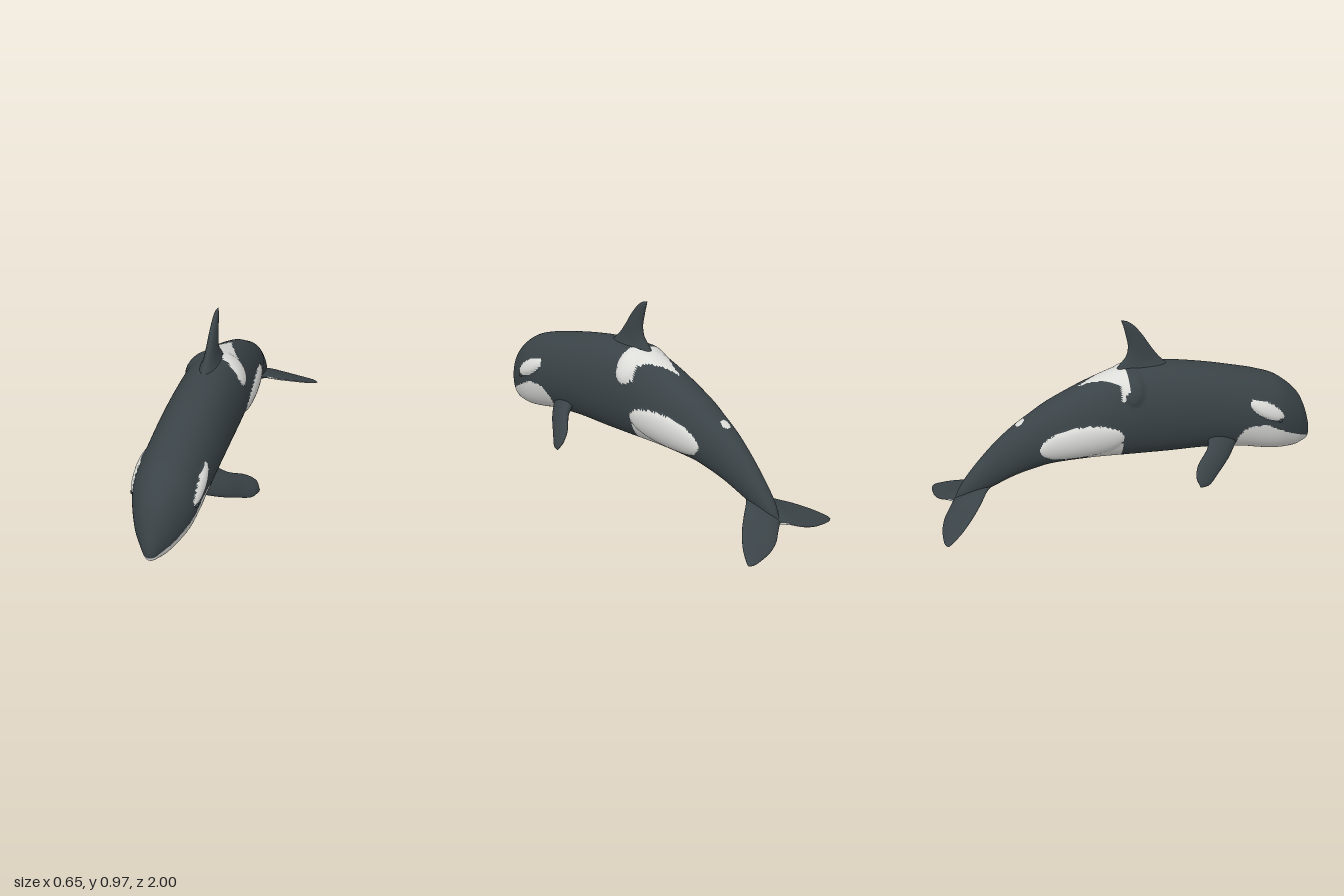
import * as THREE from 'three';

const V = (x, y, z) => new THREE.Vector3(x, y, z);
const curve = (pts) => new THREE.CatmullRomCurve3(pts, false, 'catmullrom', 0.5);

// Closed-ring surface from at(u, angle); rule(centre, normal) picks the material of each face.
function loft(name, at, rows, cols, materials, rule) {
  const pts = [];
  for (let i = 0; i <= rows; i++) {
    for (let j = 0; j < cols; j++) pts.push(at(i / rows, (j / cols) * Math.PI * 2));
  }
  const lists = materials.map(() => []);
  const tri = new THREE.Triangle(), mid = V(0, 0, 0), normal = V(0, 0, 0);
  const face = (a, b, c) => {
    tri.set(pts[a], pts[b], pts[c]);
    lists[rule(tri.getMidpoint(mid), tri.getNormal(normal))].push(a, b, c);
  };
  for (let i = 0; i < rows; i++) {
    for (let j = 0; j < cols; j++) {
      const k = (j + 1) % cols, a = i * cols + j, b = i * cols + k;
      face(a, a + cols, b);
      face(b, a + cols, b + cols);
    }
  }
  const geo = new THREE.BufferGeometry().setFromPoints(pts);
  geo.setIndex(lists.flat());
  let start = 0;
  lists.forEach((l, m) => {
    if (l.length) geo.addGroup(start, l.length, m);
    start += l.length;
  });
  geo.computeVertexNormals();
  const mesh = new THREE.Mesh(geo, materials);
  mesh.name = name;
  return mesh;
}

// Fin with lens-shaped sections between a leading and a trailing edge.
function fin(name, lead, trail, thick, materials, rule) {
  const L = curve(lead), T = curve(trail), H = curve(thick.map((t) => V(t, 0, 0)));
  const middle = (u) => L.getPoint(u).add(T.getPoint(u)).multiplyScalar(0.5);
  return loft(name, (s, a) => {
    const u = Math.sin((s * Math.PI) / 2);
    const chord = L.getPoint(u).sub(T.getPoint(u)).multiplyScalar(0.5);
    const span = middle(Math.min(1, u + 0.01)).sub(middle(Math.max(0, u - 0.01)));
    const up = chord.clone().cross(span).normalize();
    return middle(u).addScaledVector(chord, Math.cos(a))
      .addScaledVector(up, Math.sin(a) * Math.max(0, H.getPoint(u).x));
  }, 40, 32, materials, rule);
}

// Raised side patches, as tilted ellipses seen from the side
const patches = {
  eye: { z: 0.70, y: 0.465, rz: 0.11, ry: 0.038, tilt: -0.55, h: 0.017 },
  flank: { z: -0.268, y: 0.385, rz: 0.212, ry: 0.098, tilt: 0.12, h: 0.02 },
  saddle: { z: -0.005, y: 0.665, rz: 0.058, ry: 0.09, tilt: 0, h: 0.02 },
};
function inside(p, e) {
  const c = Math.cos(e.tilt), s = Math.sin(e.tilt), dz = p.z - e.z, dy = p.y - e.y;
  return 1 - ((dz * c + dy * s) / e.rz) ** 2 - ((dy * c - dz * s) / e.ry) ** 2;
}

// Body stations from snout to tail stock: z, top, bottom, half width
const stations = [
  [1.0, 0.235, 0.235, 0], [0.988, 0.31, 0.197, 0.03], [0.95, 0.42, 0.18, 0.067],
  [0.9, 0.5, 0.17, 0.105], [0.8, 0.582, 0.175, 0.15], [0.7, 0.622, 0.192, 0.163],
  [0.6, 0.65, 0.213, 0.166], [0.4, 0.697, 0.235, 0.168], [0.2, 0.73, 0.238, 0.165],
  [0, 0.732, 0.245, 0.16], [-0.2, 0.67, 0.252, 0.145], [-0.4, 0.582, 0.245, 0.117],
  [-0.5, 0.522, 0.225, 0.1], [-0.6, 0.455, 0.195, 0.083], [-0.7, 0.37, 0.15, 0.062],
  [-0.8, 0.262, 0.105, 0.045], [-0.87, 0.17, 0.088, 0.028], [-0.91, 0.095, 0.095, 0],
];
const profile = curve(stations.map(([z, top, bottom]) => V(top, bottom, z)));
const widths = curve(stations.map((s) => V(s[3], 0, 0)));

function bodyPoint(u, a) {
  const s = profile.getPoint(u), w = Math.max(0, widths.getPoint(u).x);
  const c = Math.cos(a);
  const p = V(w * Math.sign(c) * Math.abs(c) ** 0.9,
    (s.x + s.y) / 2 + ((s.x - s.y) / 2) * Math.sin(a), s.z);
  for (const e of Object.values(patches)) {
    const d = inside(p, e);
    if (d > 0 && Math.abs(c) > 0.1) p.x += Math.sign(c) * e.h * Math.sqrt(d);
  }
  return p;
}

// 1 where the skin is pale, 0 where it is dark
function bodyColour(p) {
  const { y, z } = p, x = Math.abs(p.x);
  // chin and cheek
  const corner = Math.max(0, (0.62 - z) / 0.07);
  if (z > 0.55 && y < Math.min(0.215 + (1 - z) * 0.57, 0.385 - 0.06 * corner * corner)) return 1;
  // chest strip
  if (z <= 0.55 && z > 0.08 && y < 0.36 && x < 0.065 + Math.max(0, z - 0.38) * 0.35) return 1;
  // eye and flank patches, belly band
  if (inside(p, patches.eye) > 0 || inside(p, patches.flank) > 0) return 1;
  if (z < -0.06 && z > -0.225 && y < 0.37) return 1;
  // saddle behind the dorsal fin, with its lobe on one side only
  if (p.x > 0.03 && z > -0.06 && inside(p, patches.saddle) > 0) return 1;
  if (y > 0.5 && z <= -0.02 && z > -0.065 && x < 0.14) return 1;
  if (y > 0.5 && z <= -0.065 && z > -0.28 && x < 0.1 * ((z + 0.28) / 0.215) ** 1.6) return 1;
  // small spot on the back
  if (y > 0.4 && Math.hypot(x, z + 0.56) < 0.023) return 1;
  return 0;
}

export function createModel() {
  const dark = new THREE.MeshStandardMaterial({ color: 0x3a4347 });
  dark.name = 'darkSkin';
  const pale = new THREE.MeshStandardMaterial({ color: 0xdcdcd9 });
  pale.name = 'paleSkin';
  const skins = [dark, pale];
  const whale = new THREE.Group();
  whale.name = 'whale';

  whale.add(loft('body', bodyPoint, 280, 112, skins, bodyColour));

  // Dorsal fin
  whale.add(fin('dorsalFin',
    [[0.24, 0.7], [0.17, 0.755], [0.12, 0.82], [0.075, 0.89], [0.03, 0.945], [-0.005, 0.97], [-0.035, 0.977]]
      .map(([z, y]) => V(0, y, z)),
    [[-0.08, 0.68], [-0.05, 0.73], [-0.01, 0.78], [0, 0.835], [-0.01, 0.89], [-0.022, 0.94], [-0.035, 0.977]]
      .map(([z, y]) => V(0, y, z)),
    [0.065, 0.038, 0.027, 0.021, 0.016, 0.011, 0], skins, () => 0));

  for (const [side, s] of [['left', 1], ['right', -1]]) {
    const place = (list) => list.map(([x, y, z]) => V(s * x, y, z));

    // Pectoral flipper
    whale.add(fin(side + 'Flipper',
      place([[0.11, 0.28, 0.55], [0.18, 0.235, 0.49], [0.25, 0.187, 0.41], [0.3, 0.158, 0.35], [0.325, 0.162, 0.298]]),
      place([[0.11, 0.35, 0.4], [0.18, 0.305, 0.375], [0.25, 0.255, 0.305], [0.3, 0.213, 0.28], [0.325, 0.168, 0.292]]),
      [0.04, 0.03, 0.022, 0.015, 0], skins, () => 0));

    // Tail fluke, pale beneath
    whale.add(fin(side + 'Fluke',
      place([[0, 0.165, -0.7], [0.05, 0.15, -0.745], [0.12, 0.117, -0.79], [0.19, 0.087, -0.84],
        [0.26, 0.05, -0.905], [0.3, 0.022, -0.96], [0.312, 0.01, -0.985]]),
      place([[0, 0.078, -0.915], [0.05, 0.065, -0.945], [0.1, 0.045, -0.975], [0.16, 0.028, -0.994],
        [0.22, 0.018, -1], [0.28, 0.011, -0.999], [0.312, 0.01, -0.985]]),
      [0.03, 0.024, 0.018, 0.014, 0.011, 0.008, 0], skins,
      (p, n) => (n.y < 0 && !(Math.abs(p.x) < 0.07 && p.z > -0.86) ? 1 : 0)));

    // Eye
    const eye = new THREE.Mesh(new THREE.SphereGeometry(0.013, 16, 12), dark);
    eye.name = side + 'Eye';
    eye.position.set(s * 0.155, 0.4, 0.775);
    whale.add(eye);
  }
  return whale;
}
